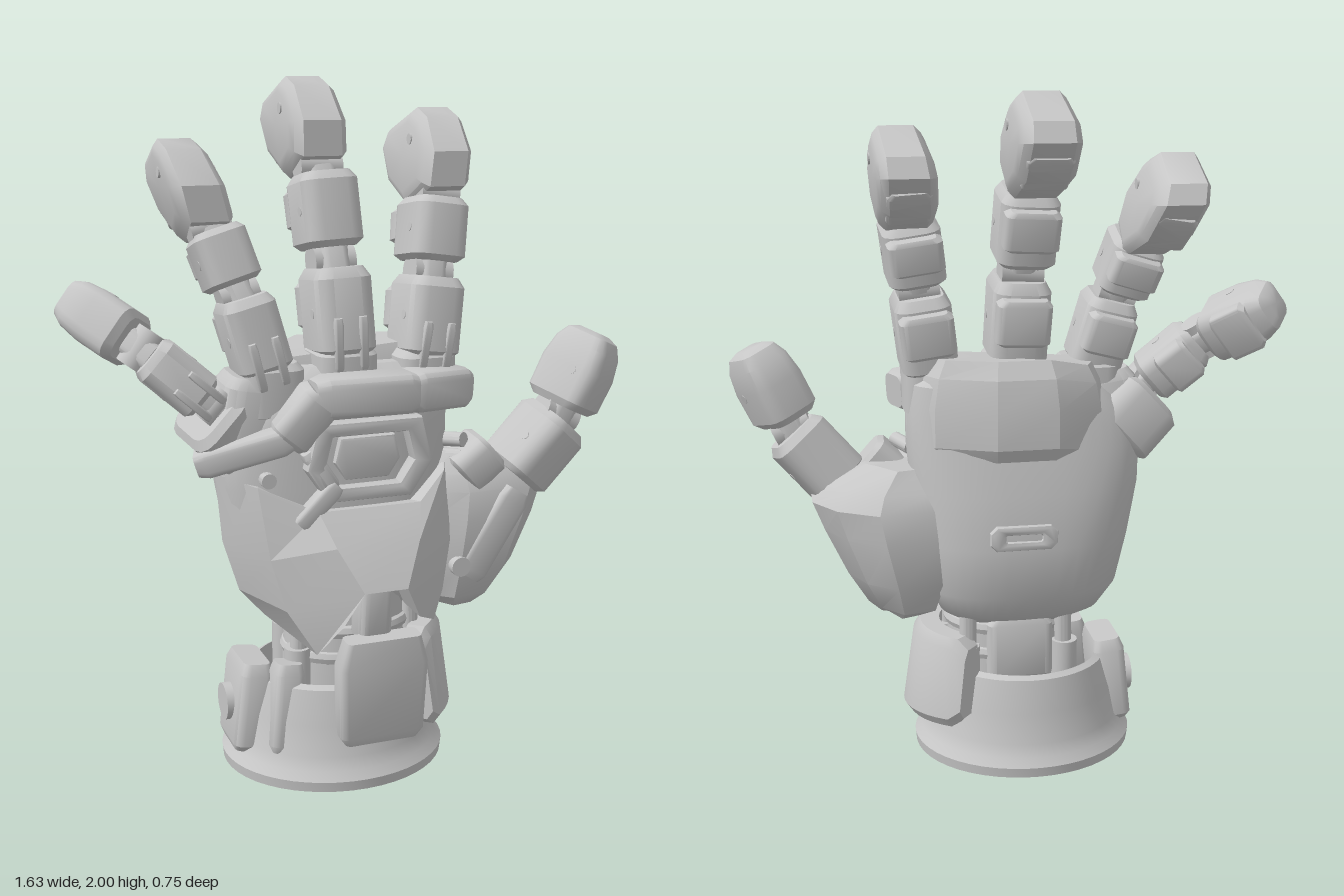
import * as THREE from 'three';
import { toCreasedNormals } from 'three/addons/utils/BufferGeometryUtils.js';

const metal = new THREE.MeshStandardMaterial({ color: 0xc6c6c6, side: THREE.DoubleSide });
metal.name = 'grey metal';
const V = (p) => new THREE.Vector3(...p);

function add(parent, name, geo, crease = 0.6) {
  const mesh = new THREE.Mesh(toCreasedNormals(geo, crease), metal);
  mesh.name = name;
  parent.add(mesh);
  return mesh;
}

// Skin over equal-length rings of [x, y, z] points, with optional end caps
function loft(rings, closed = true) {
  const n = rings[0].length, pos = rings.flat(2), idx = [];
  for (let r = 0; r < rings.length - 1; r++)
    for (let i = 0; i < (closed ? n : n - 1); i++) {
      const a = r * n + i, b = r * n + (i + 1) % n;
      idx.push(a, b, b + n, a, b + n, a + n);
    }
  if (closed) for (const r of [0, rings.length - 1]) {
    const c = pos.length / 3;
    for (let k = 0; k < 3; k++) pos.push(rings[r].reduce((s, p) => s + p[k], 0) / n);
    for (let i = 0; i < n; i++) {
      const a = r * n + i, b = r * n + (i + 1) % n;
      r ? idx.push(c, a, b) : idx.push(c, b, a);
    }
  }
  const g = new THREE.BufferGeometry();
  g.setAttribute('position', new THREE.Float32BufferAttribute(pos, 3));
  g.setIndex(idx);
  g.computeVertexNormals();
  return g;
}

// Rounded rectangle cross-section
function section(w, d, y) {
  const r = Math.min(w, d) * 0.26, pts = [];
  [[1, -1], [-1, -1], [-1, 1], [1, 1]].forEach(([sx, sz], q) => {
    for (let i = 0; i < 4; i++) {
      const a = (q + i / 3) * Math.PI / 2;
      pts.push([sx * (w / 2 - r) + r * Math.cos(a), y, sz * (d / 2 - r) - r * Math.sin(a)]);
    }
  });
  return pts;
}

const BLOCK = [[0, .8, .8], [.08, 1, 1], [.88, 1, 1], [1, .8, .82]];
const TIP = [[0, .8, .8], [.1, 1, 1], [.55, 1, 1.02], [.85, .9, .9], [1.02, .72, .7], [1.08, .45, .42]];

// Bevelled block running from a to b; profile rows are [t, widthScale, depthScale], roll turns it about its axis
function block(parent, name, a, b, w, d, profile = BLOCK, roll = 0) {
  const A = V(a), Y = V(b).sub(A), len = Y.length();
  Y.normalize();
  const X = Y.clone().cross(new THREE.Vector3(0, 0, 1)).normalize(), Z = X.clone().cross(Y);
  const mesh = add(parent, name, loft(profile.map(([t, sw, sd]) => section(w * sw, d * sd, t * len))));
  mesh.quaternion.setFromRotationMatrix(new THREE.Matrix4().makeBasis(X, Y, Z));
  mesh.rotateY(roll);
  mesh.position.copy(A);
  mesh.userData.len = len;
  return mesh;
}

function rod(parent, name, a, b, r, sides = 16) {
  const A = V(a), B = V(b), D = B.clone().sub(A);
  const m = add(parent, name, new THREE.CylinderGeometry(r, r, D.length(), sides));
  m.position.copy(A).add(B).multiplyScalar(0.5);
  m.quaternion.setFromUnitVectors(new THREE.Vector3(0, 1, 0), D.normalize());
  return m;
}

function group(parent, name) {
  const g = new THREE.Group();
  g.name = name;
  parent.add(g);
  return g;
}

// Hooked fingertip: a [z, y] side outline swept across the width
const HOOK = [[.07, 0], [.07, .1], [-.02, .195], [-.1, .22], [-.28, .15], [-.305, .095], [-.22, -.01], [-.06, -.07]];
function hookTip(parent, at, w, lean) {
  const rings = [[1, .7], [.9, .86], [.66, 1], [-.66, 1], [-.9, .86], [-1, .7]].map(([u, s]) => HOOK.map(([pz, py]) => {
    const z = -.1 + (pz + .1) * s, y = .08 + (py - .08) * s;
    return [u * w / 2 * (1 - .9 * Math.max(0, y - .08)) + lean * y, y, z];
  }));
  const tip = add(parent, 'fingertip', loft(rings), 0.7);
  tip.position.copy(V(at));
  rod(tip, 'sidePin', [-w * .5 + lean * .13, .13, -.06], [w * .5 + lean * .13, .13, -.06], 0.016);
  block(tip, 'tipPad', [0, -.02, -.15], [lean * .06, .07, -.26], w * .75, .06);
}

// Finger: root point, then [start, end, width, depth, roll] per phalanx, ending in a hook or a rounded tip
function finger(parent, name, root, parts, hook, pads = true) {
  const g = group(parent, name);
  let prev = root;
  const hinge = (a, b, w, d) => {
    block(g, 'hingeLink', prev, V(a).lerp(V(b), 0.25).toArray(), w * .5, d * .5);
    const mid = V(prev).lerp(V(a), 0.6);
    const side = V(b).sub(V(a)).cross(new THREE.Vector3(0, 0, 1)).normalize().multiplyScalar(w * 0.36);
    rod(g, 'hingePin', mid.clone().sub(side).toArray(), mid.clone().add(side).toArray(), d * 0.24);
    prev = V(b).lerp(V(a), 0.15).toArray();
  };
  parts.forEach(([a, b, w, d, roll], i) => {
    const rounded = !hook && i === parts.length - 1;
    const seg = block(g, rounded ? 'fingertip' : 'phalanx', a, b, w, d, rounded ? TIP : BLOCK, roll);
    const len = seg.userData.len;
    hinge(a, b, w, d);
    rod(seg, 'sidePin', [-w * .51, len * .5, d * .15], [w * .51, len * .5, d * .15], 0.014);
    if (!pads) return;
    block(seg, 'gripPad', [0, len * .3, -d * .46], [0, len * .85, -d * (rounded ? .4 : .49)], w * .94, rounded ? .05 : .08);
    // Forked front bracket at the knuckle
    if (i === 0) for (const s of [-1, 1])
      block(seg, 'knuckleFork', [s * w * .22, -.04, d * .34], [s * w * .22, len * .45, d * .46], w * .16, .05);
  });
  if (hook) {
    const [at, w, lean] = hook;
    hinge(at, [at[0] + lean * .1, at[1] + .1, at[2] - .08], w, .18);
    hookTip(g, at, w, lean);
  }
}

// Plate or ring cut from polygon points, facing +z
function plate(parent, name, pts, depth, hole) {
  const s = new THREE.Shape(pts.map((p) => new THREE.Vector2(...p)));
  if (hole) s.holes.push(new THREE.Path(pts.map(([x, y]) => new THREE.Vector2(x * hole, y * hole))));
  return add(parent, name, new THREE.ExtrudeGeometry(s, {
    depth, bevelEnabled: true, bevelSize: 0.01, bevelThickness: 0.01, bevelSegments: 2 }));
}

// Curved guard around the cuff between two angles
function guard(parent, name, cx, cz, rx, rz, a0, a1, y0, y1) {
  const rings = [], N = 14;
  for (let i = 0; i <= N; i++) {
    const a = a0 + (a1 - a0) * i / N, e = (i === 0 || i === N) ? 0.03 : 0, drop = -.04 * i / N;
    const at = (k, y) => [cx + Math.cos(a) * rx * k, y, cz + Math.sin(a) * rz * k];
    const lo = y0 + .05 + drop + e, hi = y1 - e;
    rings.push([at(.8, lo), at(1.04, lo), at(1.11, lo + .03), at(1, hi - .03), at(.93, hi), at(.74, hi)]);
  }
  return add(parent, name, loft(rings));
}

function buildWrist(root) {
  const g = group(root, 'wrist');
  // Open flared cuff
  const prof = [[.86, .02], [1, 0], [1.01, .03], [.95, .055], [.89, .09], [.84, .18], [.76, .28], [.7, .29], [.74, .18], [.86, .02]];
  const cuff = add(g, 'cuff', new THREE.LatheGeometry(prof.map((p) => new THREE.Vector2(...p)), 48));
  cuff.scale.set(.335, 1, .302);
  cuff.position.set(-.045, 0, .065);
  // Inner column and pistons
  const core = add(g, 'wristColumn', new THREE.CylinderGeometry(.18, .2, .42, 24));
  core.scale.z = .8;
  core.position.set(0, .39, .06);
  for (const y of [.34, .42]) {
    const ring = add(g, 'wristRing', new THREE.TorusGeometry(.18, .022, 8, 32));
    ring.rotation.x = Math.PI / 2;
    ring.scale.y = .82;
    ring.position.set(0, y, .06);
  }
  block(g, 'backWristBlock', [-.01, .26, -.06], [-.01, .46, -.06], .2, .1);
  for (const [x, z] of [[-.18, .14], [.18, .14], [-.15, -.07], [.15, -.07]]) {
    rod(g, 'piston', [x, .15, z], [x * .95, .6, z], .026);
    rod(g, 'pistonSleeve', [x, .15, z], [x, .37, z], .04);
  }
  // Guards
  block(g, 'frontGuard', [.01, .13, .315], [.01, .45, .335], .27, .08, [[0, .82, .8], [.08, .95, 1], [.75, 1, 1], [1, .84, .8]]);
  block(g, 'frontActuator', [0, .42, .27], [0, .62, .29], .1, .1);
  guard(g, 'thumbSideGuard', -.01, .055, .305, .25, -.95, .9, .09, .41);
  block(g, 'outerSideGuard', [-.33, .06, .06], [-.3, .33, .06], .1, .2);
  rod(g, 'outerGuardDisc', [-.3, .19, .05], [-.385, .19, .05], .055, 24);
  block(g, 'outerClamp', [-.25, .08, .2], [-.22, .34, .17], .09, .1);
}

function buildPalm(root) {
  const g = group(root, 'palm');
  // Main shell rows: y, left, right, back z, front z
  const rows = [[.43, -.2, .16, -.07, .14], [.47, -.27, .22, -.13, .17], [.55, -.32, .26, -.18, .2], [.7, -.355, .28, -.185, .21],
    [.86, -.385, .3, -.175, .21], [.98, -.39, .31, -.145, .2], [1.08, -.35, .31, -.13, .2], [1.17, -.25, .3, -.11, .17], [1.2, -.2, .26, -.08, .13]];
  const pw = (v, e) => Math.sign(v) * Math.abs(v) ** e;
  add(g, 'palmShell', loft(rows.map(([y, l, r, zb, zf]) => Array.from({ length: 40 }, (_, i) => {
    const a = i / 40 * Math.PI * 2, s = pw(Math.sin(a), .72);
    return [(l + r) / 2 + (r - l) / 2 * pw(Math.cos(a), .75), y, .04 - s * (s > 0 ? .04 - zb : zf - .04)];
  }))), .6);

  // Faceted front armour with two lower points and a centre notch
  const A = [
    [[-.27, .47, .1], [-.17, .4, .29], [-.11, .5, .35], [.12, .5, .35], [.19, .46, .29], [.25, .5, .1]],
    [[-.34, .55, .09], [-.25, .53, .26], [-.06, .6, .38], [.07, .6, .38], [.23, .54, .26], [.29, .58, .09]],
    [[-.385, .7, .08], [-.29, .68, .24], [-.12, .72, .32], [.13, .72, .32], [.26, .68, .24], [.32, .7, .08]],
    [[-.4, .9, .07], [-.31, .88, .19], [-.15, .81, .25], [.16, .81, .25], [.26, .88, .19], [.32, .92, .07]],
    [[-.38, .9, .05], [-.29, .88, .13], [-.14, .8, .18], [.15, .8, .18], [.25, .88, .13], [.3, .92, .05]]];
  add(g, 'armourCentre', loft(A.slice(1).map((r) => r.slice(2, 4)), false), .3);
  for (const [i, j] of [[0, 3], [3, 6]]) {
    add(g, 'armourFlank', loft(A.map((r) => r.slice(i, j)), false), .3);
    const rim = A[0].slice(i, j);
    add(g, 'armourLip', loft([rim.map(([x, y, z]) => [x * .9, y + .04, z - .09]), rim], false), .3);
  }
  const notch = [A[0][2], A[1][2], A[1][3], A[0][3]];
  add(g, 'armourNotch', loft([notch, notch.map(([x, y, z]) => [x, y, z - .12])], false), .3);

  // Recessed centre frame
  const oct = [[-.12, -.11], [.12, -.11], [.18, -.02], [.15, .1], [-.15, .1], [-.18, -.02]];
  plate(g, 'centreFrame', oct, .035, .8).position.set(.01, .95, .2);
  plate(g, 'centreBoss', oct.map(([x, y]) => [x * .5, y * .5]), .015).position.set(.01, .95, .195);
  block(g, 'diagonalStrut', [-.2, .77, .23], [-.09, .88, .23], .055, .05);
  block(g, 'strutElbow', [-.1, .87, .22], [-.17, .98, .21], .05, .06);
  rod(g, 'frontBolt', [-.28, .9, .14], [-.28, .9, .205], .022);
  for (let i = 0; i < 4; i++) rod(g, 'cableStud', [.29, .8 + i * .05, .1], [.33, .81 + i * .05, .17], .022);

  // Front knuckle band
  const band = [[-.44, .95, .1], [-.22, 1.02, .18], [-.13, 1.13, .205], [.14, 1.13, .205], [.32, 1.12, .14]];
  for (let i = 0; i < 4; i++) block(g, 'frontKnuckleBand', band[i], band[i + 1], i ? .12 : .08, .13, [[-.08, .8, .8], [.05, 1, 1], [.95, 1, 1], [1.08, .8, .8]]);
  block(g, 'outerShoulder', [-.32, .93, .06], [-.28, 1.18, .07], .19, .2);

  // Faceted back knuckle hood
  const hood = [[.31, .02], [.24, -.1], [.07, -.17], [-.11, -.17], [-.25, -.1], [-.3, .03], [-.25, .1], [.26, .1]];
  add(g, 'backKnuckleHood', loft([[.96, .88], [1, 1], [1.11, 1], [1.2, .88], [1.25, .7]].map(([y, s]) =>
    hood.map(([x, z]) => [x * (.5 + s / 2), y - (x < -.2 ? .03 : 0), z * s]))), .3);
  block(g, 'pinkyKnuckle', [-.3, .98, .02], [-.42, 1.09, .06], .22, .24);
  for (const [x, y] of [[.225, 1.15], [-.02, 1.17], [-.24, 1.14]]) block(g, 'fingerSocket', [x, y - .08, .07], [x, y + .08, .07], .18, .2);

  // Back slot
  const slot = [[-.09, -.014], [-.076, -.028], [.076, -.028], [.09, -.014], [.09, .014], [.076, .028], [-.076, .028], [-.09, .014]];
  plate(g, 'backSlotRim', slot, .02, .7).position.set(-.005, .74, -.182);
}

function buildThumb(root) {
  const g = group(root, 'thumb');
  // Base shell rows: y, inner x, outer x, back z, front z
  const rows = [[.44, .28, .39, .0, .16], [.48, .24, .43, -.07, .2], [.58, .22, .49, -.125, .23], [.72, .22, .555, -.13, .23],
    [.81, .22, .59, -.125, .22], [.86, .23, .55, -.1, .2], [.92, .26, .43, -.05, .15]];
  add(g, 'thumbBase', loft(rows.map(([y, l, r, b, f]) => {
    const w = r - l, m = (b + f) / 2;
    return [[r, y, m], [r - w * .18, y, b + .07], [r - w * .5, y, b], [l, y, b + .02], [l, y, f - .05], [l + w * .3, y, f], [r - w * .15, y, f - .01], [r, y, f - .05]];
  })), .5);
  block(g, 'thumbBaseRail', [.33, .55, .2], [.49, .8, .2], .1, .07);
  rod(g, 'thumbBolt', [.3, .59, .15], [.3, .59, .24], .03);
  block(g, 'thumbPad', [.33, .85, .14], [.42, .93, .15], .13, .16);
  finger(g, 'thumbSegments', [.45, .79, .1], [
    [[.5, .84, .15], [.64, 1.0, .165], .18, .2, .3],
    [[.65, 1.04, .165], [.745, 1.24, .175], .16, .2, .5]], null, false);
}

export function createModel() {
  const root = new THREE.Group();
  root.name = 'mechanicalHand';
  buildWrist(root);
  buildPalm(root);
  buildThumb(root);
  finger(root, 'indexFinger', [.22, 1.1, .07], [
    [[.235, 1.2, .07], [.265, 1.43, .045], .165, .22],
    [[.275, 1.47, .02], [.3, 1.65, -.01], .165, .21]], [[.315, 1.69, -.01], .165, .1]);
  finger(root, 'middleFinger', [-.02, 1.12, .07], [
    [[-.02, 1.22, .07], [-.03, 1.47, .04], .17, .22],
    [[-.03, 1.52, 0], [-.04, 1.73, -.04], .17, .21]], [[-.045, 1.78, -.07], .175, -.02]);
  finger(root, 'ringFinger', [-.235, 1.1, .08], [
    [[-.255, 1.19, .08], [-.31, 1.4, .055], .155, .2],
    [[-.325, 1.43, .03], [-.37, 1.58, -.01], .155, .2]], [[-.39, 1.61, -.03], .165, -.25]);
  finger(root, 'littleFinger', [-.36, 1.07, .09], [
    [[-.44, 1.13, .1], [-.58, 1.255, .07], .14, .17],
    [[-.62, 1.29, .03], [-.75, 1.385, -.11], .16, .19]], null);
  return root;
}
